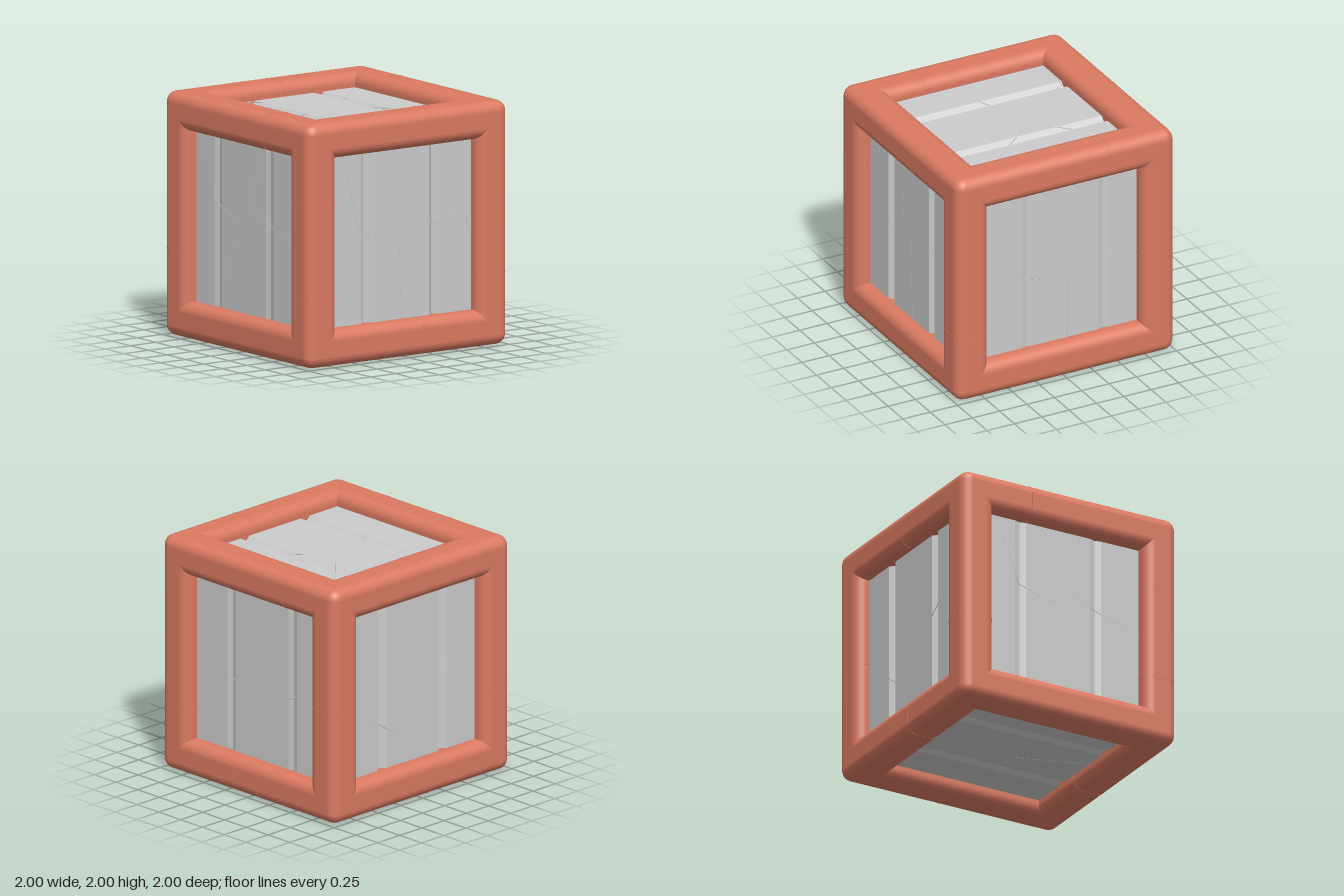
import * as THREE from 'three';
import { RoundedBoxGeometry } from 'three/addons/geometries/RoundedBoxGeometry.js';

const RED = new THREE.MeshStandardMaterial({ color: 0xdb7a62 });
const GREY = new THREE.MeshStandardMaterial({ color: 0xcccccc });
const OUT = 0.85;     // beam centre line
const BEAM = 0.3;     // beam thickness
const ROUND = 0.09;   // beam edge radius
const FACE = 0.88;    // outer plane of the panels

const add = (parent, name, geometry, material) => {
  const mesh = new THREE.Mesh(geometry, material);
  mesh.name = name;
  parent.add(mesh);
  return mesh;
};

// Rounded square outline, used for the hairline seams around the beams
function roundedSquare(size, r) {
  const h = size / 2, k = h - r, s = new THREE.Shape();
  [[k, k], [-k, k], [-k, -k], [k, -k]].forEach(([x, y], i) =>
    s.absarc(x, y, r, i * Math.PI / 2, (i + 1) * Math.PI / 2));
  return s;
}

// Beam along 'x', 'y' or 'z'; a and b are the signs on the other two axes, in x-y-z order
function placeOnBeam(mesh, axis, a, b, along = 0) {
  const rest = ['x', 'y', 'z'].filter(k => k !== axis);
  mesh.position[axis] = along;
  mesh.position[rest[0]] = a * OUT;
  mesh.position[rest[1]] = b * OUT;
}

function buildFrame() {
  const frame = new THREE.Group();
  frame.name = 'frame';
  for (const axis of ['x', 'y', 'z']) {
    const size = k => (k === axis ? 2 : BEAM);
    const geo = new RoundedBoxGeometry(size('x'), size('y'), size('z'), 3, ROUND);
    for (const a of [-1, 1]) for (const b of [-1, 1])
      placeOnBeam(add(frame, 'beam', geo, RED), axis, a, b);
  }
  // Cracks across the beams
  const ring = new THREE.ExtrudeGeometry(roundedSquare(BEAM + 0.003, ROUND),
    { depth: 0.004, bevelEnabled: false, curveSegments: 4 });
  const seams = [
    ['x', 1, 1, -0.36], ['x', 1, 1, 0.37], ['x', -1, 1, 0.48], ['x', 1, -1, -0.4], ['x', -1, -1, -0.1],
    ['y', -1, 1, -0.28], ['y', 1, 1, 0.36], ['y', 1, 1, -0.44], ['y', 1, -1, -0.41], ['y', -1, -1, -0.05],
    ['z', 1, 1, -0.22], ['z', 1, -1, -0.15], ['z', -1, 1, 0], ['z', -1, -1, 0.1],
  ];
  for (const [axis, a, b, along] of seams) {
    const mesh = add(frame, 'beamCrack', ring, RED);
    if (axis === 'x') mesh.rotation.y = Math.PI / 2;
    if (axis === 'y') mesh.rotation.x = Math.PI / 2;
    placeOnBeam(mesh, axis, a, b, along);
  }
  return frame;
}

// Three planks with V grooves between them, extruded along the grain
function plankGeometry(grooves, depth) {
  const w = 0.05, s = new THREE.Shape();
  s.moveTo(-0.75, FACE - 0.1);
  s.lineTo(0.75, FACE - 0.1);
  s.lineTo(0.75, FACE);
  for (const g of [...grooves].reverse()) {
    s.lineTo(g + w, FACE);
    s.lineTo(g, FACE - depth);
    s.lineTo(g - w, FACE);
  }
  s.lineTo(-0.75, FACE);
  return new THREE.ExtrudeGeometry(s, { depth: 1.5, bevelEnabled: false }).translate(0, 0, -0.75);
}

// Panel: u runs across the planks, n points outward, cracks are [u, position along the grain axis]
function buildPanel(name, u, n, geometry, cracks) {
  const panel = new THREE.Group();
  panel.name = name;
  const U = new THREE.Vector3(...u), N = new THREE.Vector3(...n);
  const V = new THREE.Vector3().crossVectors(U, N);
  const sign = V.x + V.y + V.z;
  add(panel, 'planks', geometry, GREY);
  for (const line of cracks) {
    const pts = line.map(([p, q]) => new THREE.Vector3(p, FACE - 0.002, sign * q));
    for (let i = 1; i < pts.length; i++)
      add(panel, 'panelCrack',
        new THREE.TubeGeometry(new THREE.LineCurve3(pts[i - 1], pts[i]), 1, 0.004, 4), GREY);
  }
  panel.quaternion.setFromRotationMatrix(new THREE.Matrix4().makeBasis(U, N, V));
  return panel;
}

export function createModel() {
  const crate = new THREE.Group();
  crate.name = 'crackedCrate';
  const body = new THREE.Group();
  body.name = 'body';
  body.position.y = 1;
  crate.add(body);
  body.add(buildFrame());

  const side = plankGeometry([-0.34, 0.34], 0.05);
  const front = plankGeometry([-0.4, 0.3], 0.015);
  const X = [1, 0, 0], Z = [0, 0, 1];

  body.add(
    buildPanel('frontPanel', X, [0, 0, 1], front, [
      [[-0.62, 0.71], [-0.42, 0.15], [-0.14, 0.05], [0.08, 0.15], [0.15, 0.71]],
      [[-0.14, 0.05], [-0.34, -0.71]],
      [[0.08, 0.15], [0.3, 0.07], [0.71, -0.05]],
    ]),
    buildPanel('backPanel', X, [0, 0, -1], front, [
      [[0.71, 0.02], [0.3, -0.08], [-0.07, -0.2], [-0.71, 0.03]],
      [[-0.07, -0.2], [-0.07, -0.71]],
    ]),
    buildPanel('leftPanel', Z, [1, 0, 0], side, [
      [[0.58, 0.71], [0.4, 0], [0.62, -0.08], [0.71, -0.08]],
      [[0.62, -0.08], [0.71, -0.38]],
      [[0.4, 0], [0.12, 0], [0.17, 0.71]],
      [[0.12, 0], [0.01, -0.02], [-0.58, 0.1], [-0.71, 0.34]],
      [[0.01, -0.02], [-0.01, -0.71]],
      [[-0.58, 0.1], [-0.65, 0.07], [-0.71, -0.14]],
    ]),
    buildPanel('rightPanel', Z, [-1, 0, 0], side, [
      [[-0.71, -0.1], [-0.15, -0.45], [0.3, 0], [0.6, 0.2], [0.71, 0.2]],
      [[-0.15, -0.45], [-0.12, -0.71]],
    ]),
    buildPanel('topPanel', Z, [0, 1, 0], side, [
      [[-0.71, -0.71], [-0.12, -0.12], [0.05, -0.12], [0.08, -0.09], [0.16, 0.71]],
      [[-0.12, -0.12], [-0.35, 0.15], [-0.71, 0.55]],
      [[0.05, -0.12], [0.34, -0.68], [0.71, -0.68]],
      [[0.08, -0.09], [0.66, 0.17], [0.63, 0.71]],
    ]),
    buildPanel('bottomPanel', Z, [0, -1, 0], side, [
      [[-0.71, 0.2], [-0.1, 0.1], [0.2, -0.2], [0.71, -0.3]],
      [[-0.1, 0.1], [0.1, 0.71]],
    ]),
  );
  return crate;
}
